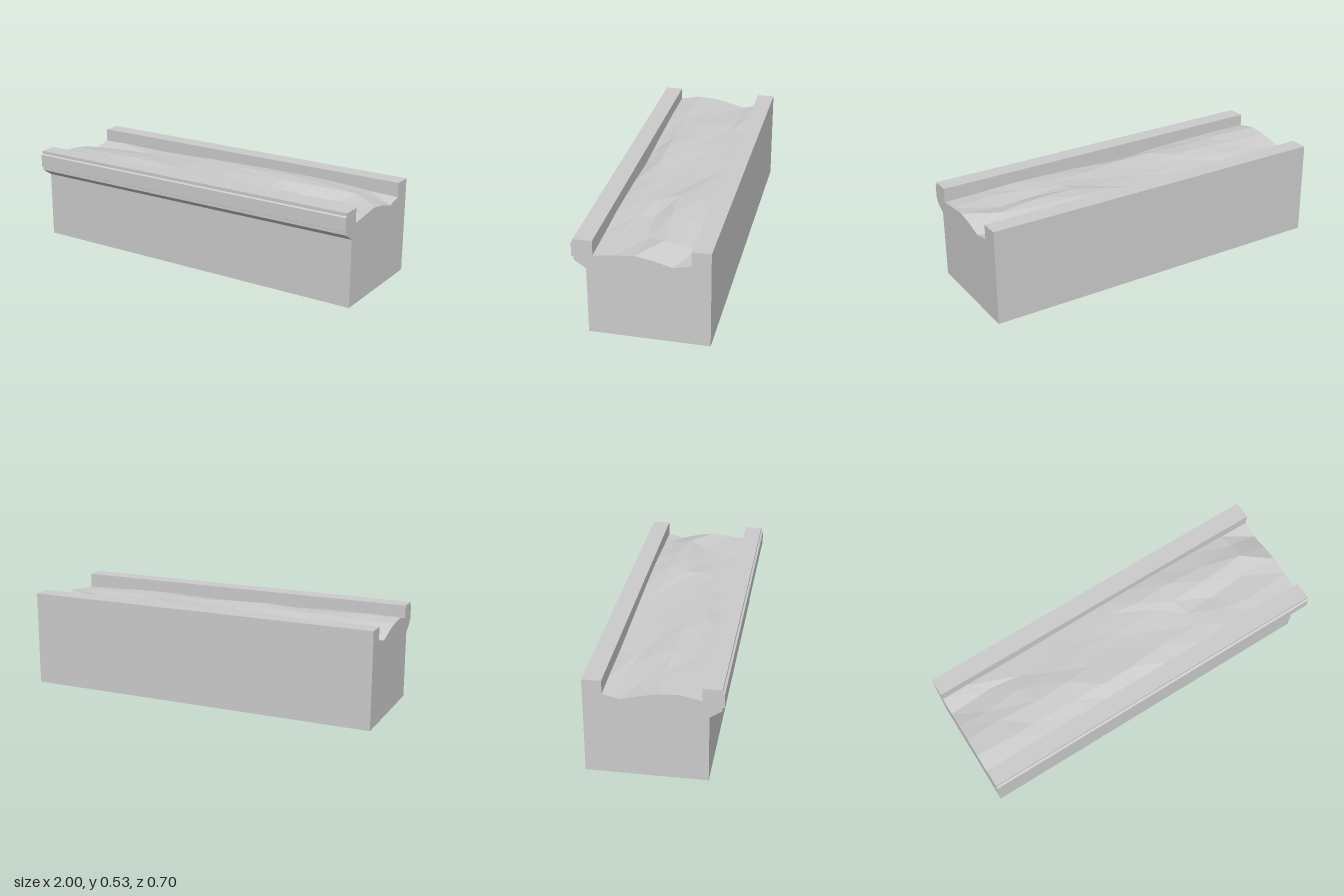
import * as THREE from 'three';

const stone = new THREE.MeshStandardMaterial({ color: 0xcccccc });
stone.name = 'pale stone';

// Depth positions of the fill, back to front
const ROWS = [-0.252, -0.16, -0.07, 0.03, 0.13, 0.242];
// Fill heights in thousandths: one line per station from x = -1 to x = 1
const HEIGHTS = [
  [456, 435, 460, 480, 486, 462],
  [460, 450, 465, 480, 485, 465],
  [455, 460, 475, 487, 480, 462],
  [460, 465, 475, 487, 478, 455],
  [465, 470, 475, 480, 485, 447],
  [470, 475, 475, 475, 481, 443],
  [473, 485, 480, 473, 475, 455],
  [475, 494, 490, 475, 470, 460],
  [470, 488, 494, 460, 465, 462],
  [455, 462, 485, 460, 465, 455],
  [450, 430, 455, 473, 463, 450],
];
const FLOOR = 0.42;

// Walled block with a moulded ledge, as one section swept along x
function blockGeometry() {
  const section = [
    [0.278, 0], [0.278, 0.372], [0.34, 0.413], [0.34, 0.43], [0.351, 0.435],
    [0.351, 0.508], [0.34, 0.513], [0.34, 0.53], [0.242, 0.53], [0.242, FLOOR],
    [-0.252, FLOOR], [-0.252, 0.53], [-0.351, 0.53], [-0.351, 0],
  ];
  const shape = new THREE.Shape(section.map(([z, y]) => new THREE.Vector2(-z, y)));
  const geo = new THREE.ExtrudeGeometry(shape, { depth: 2, bevelEnabled: false });
  return geo.translate(0, 0, -1).rotateY(Math.PI / 2);
}

// Uneven faceted fill between the walls, closed at both ends
function fillGeometry() {
  let seed = 7;
  const jitter = (size) => {
    seed = (seed * 16807) % 2147483647;
    return (seed / 2147483647 - 0.5) * 2 * size;
  };
  const last = HEIGHTS.length - 1;
  const grid = HEIGHTS.map((line, i) => line.map((h, j) => {
    const inX = i > 0 && i < last;
    const inZ = j > 0 && j < ROWS.length - 1;
    const x = -1 + (2 * i) / last + (inX ? jitter(0.06) : 0);
    const z = ROWS[j] + (inX && inZ ? jitter(0.022) : 0);
    return [x, h / 1000, z];
  }));
  const pos = [];
  const quad = (a, b, c, d) => pos.push(...a, ...b, ...c, ...a, ...c, ...d);
  for (let i = 0; i < last; i++) {
    for (let j = 0; j < ROWS.length - 1; j++) {
      quad(grid[i][j], grid[i][j + 1], grid[i + 1][j + 1], grid[i + 1][j]);
    }
  }
  // End faces down to the channel floor
  const down = ([x, , z]) => [x, FLOOR, z];
  for (let j = 0; j < ROWS.length - 1; j++) {
    const [a, b] = [grid[0][j], grid[0][j + 1]];
    quad(down(a), down(b), b, a);
    const [c, d] = [grid[last][j], grid[last][j + 1]];
    quad(down(d), down(c), c, d);
  }
  const geo = new THREE.BufferGeometry();
  geo.setAttribute('position', new THREE.Float32BufferAttribute(pos, 3));
  geo.computeVertexNormals();
  return geo;
}

export function createModel() {
  const group = new THREE.Group();
  group.name = 'walledBlock';
  const add = (name, geo) => {
    const mesh = new THREE.Mesh(geo, stone);
    mesh.name = name;
    group.add(mesh);
  };
  add('block', blockGeometry());
  add('roughFill', fillGeometry());
  return group;
}
